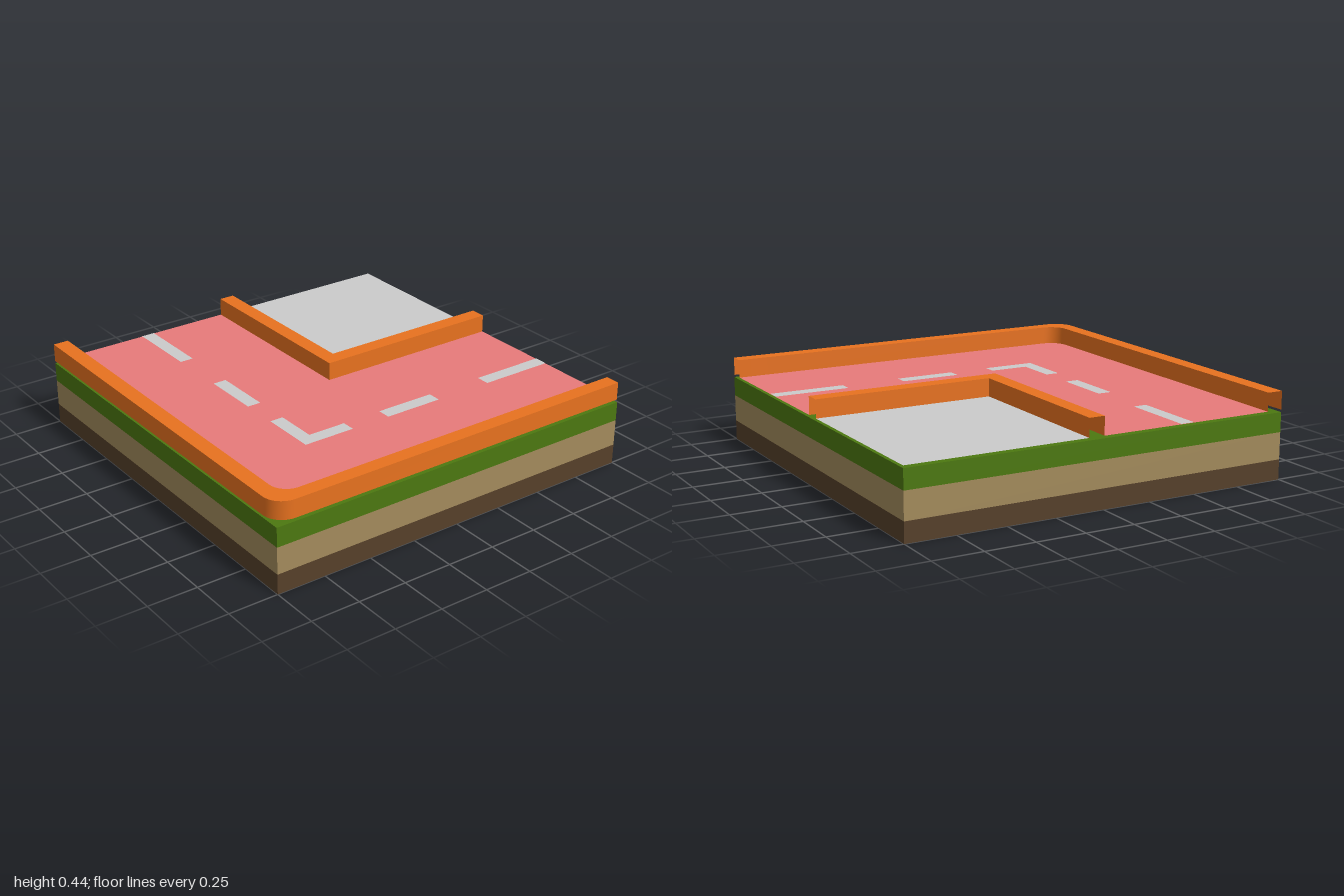
import * as THREE from 'three';
import { toCreasedNormals } from 'three/addons/utils/BufferGeometryUtils.js';

const ROAD_Y = 0.345, CURB_TOP = 0.437;

const mat = (color, side = THREE.FrontSide) =>
  new THREE.MeshStandardMaterial({ color, side });

// Rounded or sharp corner path as [x, z], from the back edge to the left edge
function cornerPath(x, z, radius) {
  const pts = [[x, -1]];
  const steps = radius ? 10 : 0;
  for (let i = 0; i <= steps; i++) {
    const a = steps ? (i / steps) * Math.PI / 2 : 0;
    pts.push([x + radius * (1 - Math.cos(a)), z - radius * (1 - Math.sin(a))]);
  }
  pts.push([1, z]);
  return pts;
}

// Hollow curb: two walls and a top, open at the ends and underneath
function curbGeometry(outer, inner) {
  const pos = [], index = [];
  outer.forEach(([x, z], i) => {
    const [u, w] = inner[i];
    pos.push(x, ROAD_Y, z, x, CURB_TOP, z, u, CURB_TOP, w, u, ROAD_Y, w);
    if (i === outer.length - 1) return;
    for (let k = 0; k < 3; k++) {
      const a = i * 4 + k, b = a + 4;
      index.push(a, b, b + 1, a, b + 1, a + 1);
    }
  });
  const g = new THREE.BufferGeometry();
  g.setAttribute('position', new THREE.Float32BufferAttribute(pos, 3));
  g.setIndex(index);
  return toCreasedNormals(g, 0.6);
}

// Flat horizontal surface from an [x, z] outline
function flatGeometry(points, y) {
  const shape = new THREE.Shape(points.map(([x, z]) => new THREE.Vector2(x, -z)));
  return new THREE.ShapeGeometry(shape).rotateX(-Math.PI / 2).translate(0, y, 0);
}

const rect = (x0, x1, z0, z1) => [[x0, z1], [x1, z1], [x1, z0], [x0, z0]];

export function createModel() {
  const group = new THREE.Group();
  const add = (name, geometry, material) => {
    const mesh = new THREE.Mesh(geometry, material);
    mesh.name = name;
    group.add(mesh);
  };

  // Ground layers
  const grass = mat(0x4c7810);
  const soil = mat(0x56402a);
  const layers = [
    ['bedrockLayer', 0, 0.1, [soil, soil, soil, grass, soil, soil]],
    ['soilLayer', 0.1, 0.235, mat(0xa38b5c)],
    ['grassLayer', 0.235, 0.333, grass],
  ];
  for (const [name, y0, y1, material] of layers) {
    add(name, new THREE.BoxGeometry(2, y1 - y0, 2).translate(0, (y0 + y1) / 2, 0), material);
  }

  // Curbs on the outside and inside of the bend
  const curbMat = mat(0xe8721f, THREE.DoubleSide);
  const outerEdge = cornerPath(-1, 0.995, 0.1);
  const roadEdge = cornerPath(-0.92, 0.92, 0.09);
  const bendEdge = cornerPath(0, 0, 0);
  const paveEdge = cornerPath(0.08, -0.08, 0);
  add('outerCurb', curbGeometry(outerEdge, roadEdge), curbMat);
  add('innerCurb', curbGeometry(bendEdge, paveEdge), curbMat);

  // Road between the curbs and paving inside the bend
  add('road', flatGeometry([...roadEdge, ...[...bendEdge].reverse()], ROAD_Y),
    mat(0xe87a7a, THREE.DoubleSide));
  const grey = mat(0xcccccc, THREE.DoubleSide);
  add('paving', flatGeometry([...paveEdge, [1, -1]], ROAD_Y), grey);

  // Dashed centre line
  const near = 0.42, far = 0.49, y = ROAD_Y + 0.002;
  for (const [a, b] of [[-1, -0.61], [-0.3, 0.01]]) {
    add('laneDash', flatGeometry(rect(-far, -near, a, b), y), grey);
    add('laneDash', flatGeometry(rect(-b, -a, near, far), y), grey);
  }
  add('cornerDash', flatGeometry([
    [-far, 0.2], [-far, far], [-0.22, far], [-0.22, near], [-near, near], [-near, 0.2],
  ], y), grey);

  return group;
}
